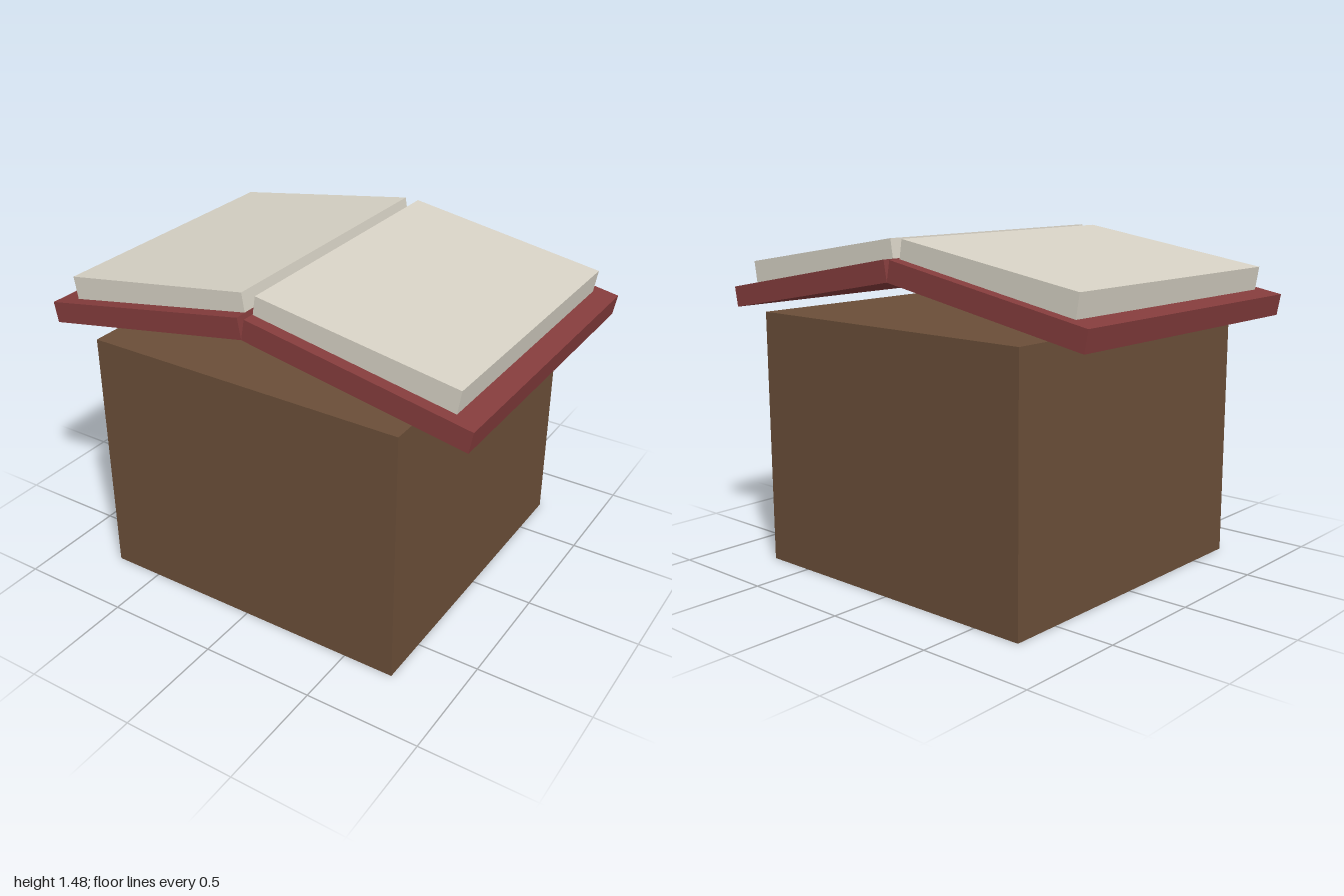
import * as THREE from 'three';

export function createModel() {
  const model = new THREE.Group();
  model.name = 'openBookOnBlock';

  const wood = new THREE.MeshStandardMaterial({ name: 'brown wood', color: 0x6a4e38 });
  const leather = new THREE.MeshStandardMaterial({ name: 'dark red cover', color: 0x843c3c });
  const paper = new THREE.MeshStandardMaterial({ name: 'cream paper', color: 0xd6d1c4 });

  function box(name, w, h, d, material) {
    const mesh = new THREE.Mesh(new THREE.BoxGeometry(w, h, d), material);
    mesh.name = name;
    return mesh;
  }

  // Supporting block
  const block = box('block', 1.45, 1.13, 1.45, wood);
  block.position.y = 0.565;
  model.add(block);

  // Two sloping halves of the open book, meeting at the spine
  for (const [side, s] of [['left', 1], ['right', -1]]) {
    // Slab tilted outward, placed by its inner edge at (x, y); up = 1 puts the slab above it
    const slab = (name, length, thick, depth, material, x, y, tilt, up) => {
      const mesh = box(side + name, length, thick, depth, material);
      const c = Math.cos(tilt), n = Math.sin(tilt), h = (up * thick) / 2;
      mesh.position.set(s * (x + (c * length) / 2 + n * h), y - (n * length) / 2 + c * h, 0);
      mesh.rotation.z = -s * tilt;
      model.add(mesh);
    };
    slab('Cover', 1, 0.092, 1.364, leather, 0, 1.305, 0.18, 1);
    slab('Pages', 0.9, 0.11, 1.256, paper, 0.032, 1.476, 0.16, -1);
  }

  return model;
}
